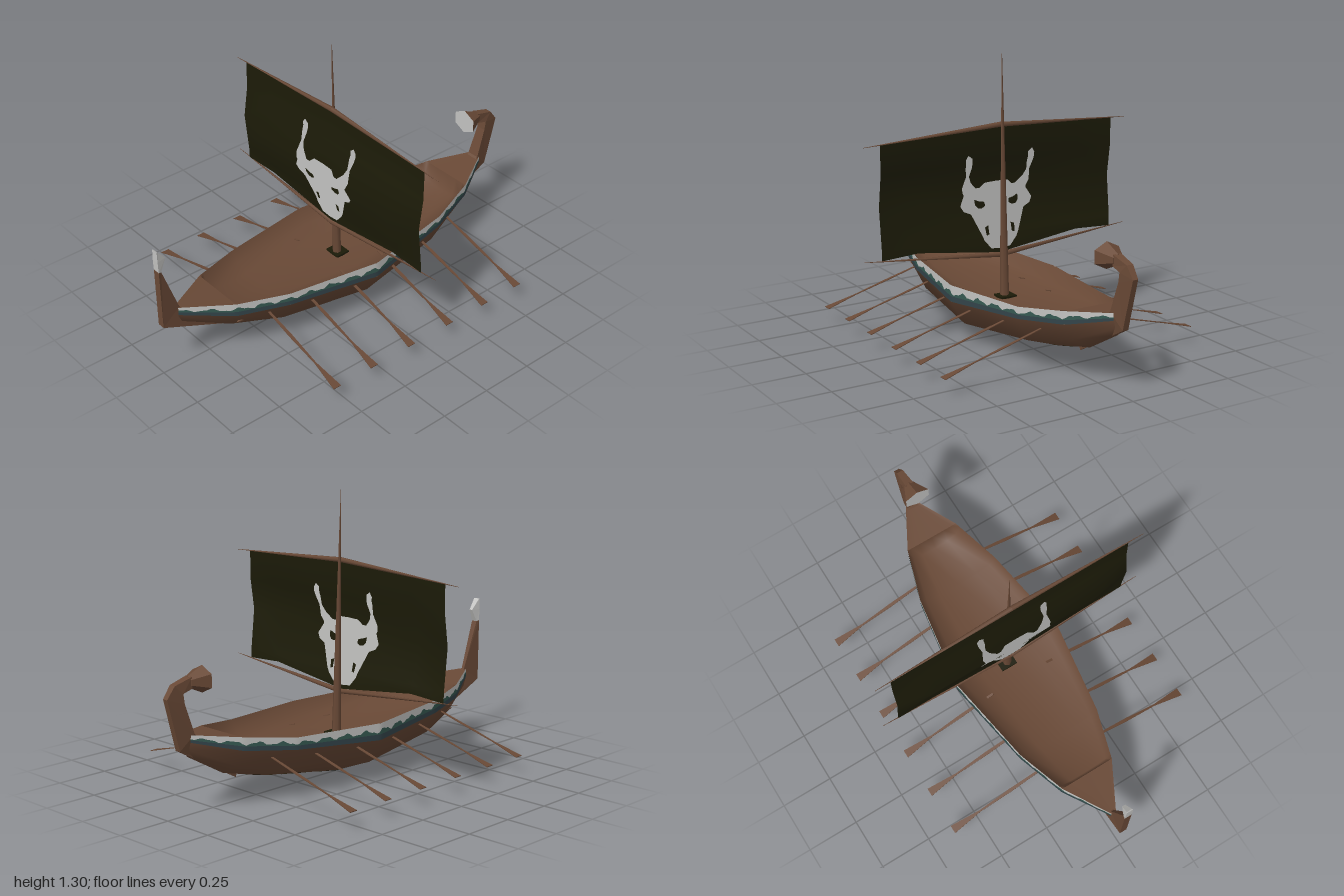
import * as THREE from 'three';

const paint = (name, color) => new THREE.MeshStandardMaterial({ name, color, side: THREE.DoubleSide });
const wood = paint('brown wood', 0x694936);
const cloth = paint('dark olive cloth', 0x1c1b08);
const bone = paint('bone white', 0xc4c4c2);
const teal = paint('teal paint', 0x365a52);
const slate = paint('dark slate paint', 0x33444a);

function add(parent, name, geometry, material) {
  const mesh = new THREE.Mesh(geometry, material);
  mesh.name = name;
  parent.add(mesh);
  return mesh;
}

// Surface through rows of points, each row having the same number of points
function sheet(rows) {
  const n = rows[0].length, index = [];
  for (let r = 0; r + 1 < rows.length; r++) {
    for (let c = 0; c + 1 < n; c++) {
      const a = r * n + c, b = a + n;
      index.push(a, b, a + 1, a + 1, b, b + 1);
    }
  }
  const geometry = new THREE.BufferGeometry();
  geometry.setAttribute('position', new THREE.Float32BufferAttribute(rows.flat(2), 3));
  geometry.setIndex(index);
  geometry.computeVertexNormals();
  return geometry;
}

// Flat-sided bar; each station is [outer z, outer y, inner z, inner y, outer half width, inner half width]
function bar(stations) {
  const rows = stations.map(([z, y, iz, iy, w, iw]) =>
    [[w, y, z], [-w, y, z], [-iw, iy, iz], [iw, iy, iz], [w, y, z]]);
  const cap = (row) => row.map(() => [0, (row[0][1] + row[2][1]) / 2, (row[0][2] + row[2][2]) / 2]);
  const flat = sheet([cap(rows[0]), ...rows, cap(rows.at(-1))]).toNonIndexed();
  flat.computeVertexNormals();
  return flat;
}

// Tapered round pole between two points
function pole(from, to, r0, r1) {
  const a = new THREE.Vector3(...from), d = new THREE.Vector3(...to).sub(a);
  const geometry = new THREE.CylinderGeometry(r1, r0, d.length(), 6);
  geometry.translate(0, d.length() / 2, 0);
  geometry.applyQuaternion(new THREE.Quaternion().setFromUnitVectors(new THREE.Vector3(0, 1, 0), d.normalize()));
  return geometry.translate(...from);
}

// Hull stations: z, keel y, chine half width, chine y, half width, band bottom y, rim y
const STATIONS = [
  [0.91, 0.22, 0.006, 0.25, 0.012, 0.285, 0.325],
  [0.69, 0.118, 0.09, 0.17, 0.135, 0.24, 0.305],
  [0.45, 0.064, 0.16, 0.125, 0.21, 0.225, 0.287],
  [0, 0.001, 0.21, 0.085, 0.28, 0.2, 0.278],
  [-0.45, 0.077, 0.16, 0.13, 0.21, 0.235, 0.29],
  [-0.69, 0.14, 0.09, 0.19, 0.135, 0.265, 0.325],
  [-0.89, 0.255, 0.015, 0.285, 0.025, 0.32, 0.353],
];
function hullAt(z) {
  let i = 0;
  while (i < STATIONS.length - 2 && z < STATIONS[i + 1][0]) i++;
  const a = STATIONS[i], b = STATIONS[i + 1], t = (a[0] - z) / (a[0] - b[0]);
  return a.map((v, k) => v + (b[k] - v) * t);
}
const span = (from, to, n) => Array.from({ length: n + 1 }, (_, i) => from + (to - from) * i / n);

function buildHull() {
  const hull = new THREE.Group();
  hull.name = 'hull';
  const fine = span(0.91, -0.89, 120).map(hullAt);
  // Painted bands: slate at the bottom, teal, then white with a scalloped border
  const scallop = (z) => 0.55 + 0.12 * Math.sin(z * 58) + 0.06 * Math.sin(z * 131);
  const bands = [['SlateBand', () => 0, () => 0.34, slate], ['TealBand', () => 0.34, scallop, teal],
    ['WhiteBand', scallop, () => 1, bone]];
  for (const s of [1, -1]) {
    const side = s > 0 ? 'left' : 'right';
    add(hull, side + 'Planking', sheet(STATIONS.map(([z, k, cw, cy, w, low]) =>
      [[0, k, z], [s * cw, cy, z], [s * w, low, z]])), wood);
    for (const [name, from, to, material] of bands) {
      add(hull, side + name, sheet(fine.map(([z, , , , w, low, top]) =>
        [from, to].map((f) => [s * w, low + (top - low) * f(z), z]))), material);
    }
    // Small pointed boss on the bow planking
    add(hull, side + 'BowBoss', pole([s * 0.108, 0.188, 0.635], [s * 0.118, 0.19, 0.68], 0.014, 0.001), wood);
    // Dark weed patches beside the keel
    for (const z of [0.42, 0.2, -0.04, -0.27, -0.48]) {
      add(hull, side + 'KeelPatch', sheet(span(z + 0.08, z - 0.08, 4).map((p, i) => {
        const [, k, cw, cy] = hullAt(p), f = [0.02, 0.09, 0.12, 0.08, 0.02][i];
        return [[0, k - 0.001, p], [s * cw * f, k + (cy - k) * f - 0.002, p]];
      })), cloth);
    }
  }
  // Bowl-shaped deck rising to the rim at the sides and at both ends
  const BOWL = [[-1, 1], [-0.84, 0.35], [-0.5, 0.08], [0, 0], [0.5, 0.08], [0.84, 0.35], [1, 1]];
  const deckRow = (z, raised) => {
    const [, , , , w, , top] = hullAt(z), floor = raised ? top - 0.002 : 0.175 + 0.06 * Math.abs(z) / 0.69;
    return BOWL.map(([f, lift]) => [f * w, floor + (top - floor) * lift, z]);
  };
  add(hull, 'deck', sheet([deckRow(0.69, true), ...[0.665, 0.45, 0, -0.45, -0.665].map((z) => deckRow(z, false)),
    deckRow(-0.69, true)]), wood);
  add(hull, 'bowPlatform', sheet([deckRow(0.69, true), deckRow(0.91, true)]), wood);
  add(hull, 'sternPlatform', sheet([deckRow(-0.69, true), deckRow(-0.89, true)]), wood);
  return hull;
}

// Sail depth follows the height in straight runs
const PROFILE = [[0.99, 0.037], [0.81, 0.042], [0.665, 0.093], [0.47, 0.042], [0.36, 0.035]];
function sailZ(y) {
  let i = 0;
  while (i < 3 && y < PROFILE[i + 1][0]) i++;
  const [a, za] = PROFILE[i], [b, zb] = PROFILE[i + 1];
  return za + (zb - za) * (a - y) / (a - b);
}
function clip(points, y, sign) {
  return points.flatMap((p, i) => {
    const q = points[(i + 1) % points.length], dp = (p[1] - y) * sign, dq = (q[1] - y) * sign;
    const out = dp >= 0 ? [p] : [];
    if (dp * dq < 0) out.push([p[0] + (q[0] - p[0]) * dp / (dp - dq), y]);
    return out;
  });
}
// Outline painted on the sail, cut at each fold to follow it, with even forward normals
function paintOnSail(parent, name, outline, offset, material) {
  for (let i = 0; i < 4; i++) {
    const part = clip(clip(outline, PROFILE[i][0], -1), PROFILE[i + 1][0], 1);
    if (part.length < 3) continue;
    const geometry = new THREE.ShapeGeometry(new THREE.Shape(part.map((p) => new THREE.Vector2(...p))));
    const pos = geometry.attributes.position;
    for (let k = 0; k < pos.count; k++) pos.setZ(k, sailZ(pos.getY(k)) + offset);
    add(parent, name, geometry, material);
  }
}

function buildRig() {
  const rig = new THREE.Group();
  rig.name = 'rig';
  add(rig, 'mast', pole([-0.003, 0.15, 0], [-0.006, 1.295, 0.027], 0.022, 0.001), wood);
  add(rig, 'mastStep', new THREE.BoxGeometry(0.08, 0.014, 0.07).translate(-0.005, 0.181, -0.005), cloth);
  // Half yards: side, tip y
  for (const [s, upper, lower] of [[1, 0.947, 0.438], [-1, 0.94, 0.427]]) {
    add(rig, 'upperYard', pole([0, 0.976, 0.034], [s * 0.685, upper, 0.034], 0.012, 0.001), wood);
    add(rig, 'lowerYard', pole([0, 0.37, 0.034], [s * 0.69, lower, 0.034], 0.012, 0.001), wood);
  }
  // Columns: x, top y, bottom y, belly factor
  const columns = [[-0.61, 0.944, 0.42, 0.4], [-0.42, 0.952, 0.43, 1], [0, 0.972, 0.38, 1],
    [0.42, 0.957, 0.438, 1], [0.603, 0.951, 0.43, 0.4]];
  add(rig, 'sail', sheet(columns.map(([x, top, bottom, f]) =>
    [top, 0.81, 0.665, 0.47, bottom].map((y) => [x, y, 0.036 + (sailZ(y) - 0.036) * f]))), cloth);

  // Horned skull, mirrored about its middle and painted on both faces
  const half = [[0, 0.708], [0.06, 0.706], [0.085, 0.683], [0.105, 0.683], [0.137, 0.715], [0.152, 0.747],
    [0.146, 0.79], [0.148, 0.835], [0.168, 0.85], [0.181, 0.83], [0.178, 0.79], [0.168, 0.747], [0.178, 0.69],
    [0.165, 0.655], [0.19, 0.61], [0.175, 0.585], [0.14, 0.57], [0.115, 0.513], [0.085, 0.445], [0.05, 0.405], [0, 0.4]];
  const eye = [[0.115, 0.632], [0.09, 0.622], [0.065, 0.617], [0.062, 0.6], [0.08, 0.59], [0.1, 0.592], [0.114, 0.608]];
  const nostril = [[0.06, 0.512], [0.078, 0.505], [0.074, 0.468], [0.06, 0.472]];
  const place = (pts, s) => pts.map(([x, y]) => [s * x - 0.005, y]);
  for (const face of [1, -1]) {
    for (const s of [1, -1]) {
      paintOnSail(rig, 'skullHalf', place(half, s), face * 0.004, bone);
      paintOnSail(rig, 'skullEye', place(eye, s), face * 0.006, cloth);
      paintOnSail(rig, 'skullNostril', place(nostril, s), face * 0.006, cloth);
    }
  }
  return rig;
}

function buildOars() {
  const oars = new THREE.Group();
  oars.name = 'oars';
  const edge = [[0, 0.005], [0.18, 0.008], [0.35, 0.004], [0.38, 0.007], [0.505, 0.02]];
  const outline = [...edge, ...edge.map(([u, w]) => [u, -w]).reverse()];
  const geometry = new THREE.ExtrudeGeometry(new THREE.Shape(outline.map((p) => new THREE.Vector2(...p))),
    { depth: 0.003, bevelEnabled: false });
  geometry.rotateX(Math.PI / 2).rotateZ(-0.264).translate(0.15, 0.216, 0);
  for (const z of [0.54, 0.33, 0.11, -0.12, -0.34, -0.55]) {
    for (const s of [1, -1]) {
      const oar = add(oars, s > 0 ? 'leftOar' : 'rightOar', geometry, wood);
      oar.position.z = z;
      oar.scale.x = s;
    }
  }
  return oars;
}

export function createModel() {
  const ship = new THREE.Group();
  ship.name = 'longship';
  ship.add(buildHull(), buildRig(), buildOars());

  // Bow post, thin on its inner edge, with a pale tip
  add(ship, 'bowPost', bar([[0.63, 0.09, 0.62, 0.12, 0.003, 0.003], [0.995, 0.262, 0.9, 0.325, 0.018, 0.007],
    [0.998, 0.56, 0.983, 0.555, 0.018, 0.014]]), wood);
  add(ship, 'bowPostTip', bar([[0.998, 0.56, 0.983, 0.555, 0.018, 0.014], [1, 0.615, 0.955, 0.615, 0.018, 0.008],
    [1, 0.667, 0.995, 0.664, 0.016, 0.014]]), bone);

  // Stern post, thin on its outer edge, curling forward into a flared end
  add(ship, 'sternPost', bar([[-0.62, 0.107, -0.61, 0.14, 0.003, 0.003], [-0.938, 0.288, -0.87, 0.355, 0.014, 0.03],
    [-1, 0.52, -0.915, 0.49, 0.013, 0.024], [-0.96, 0.573, -0.922, 0.535, 0.016, 0.024],
    [-0.87, 0.597, -0.87, 0.548, 0.02, 0.022]]), wood);
  const flare = new THREE.CylinderGeometry(0.07, 0.028, 0.08, 6).toNonIndexed();
  flare.computeVertexNormals();
  flare.rotateX(Math.PI / 2).scale(1, 0.85, 1).translate(0, 0.574, -0.838);
  add(ship, 'sternFlare', flare, [wood, bone, wood]);
  return ship;
}
